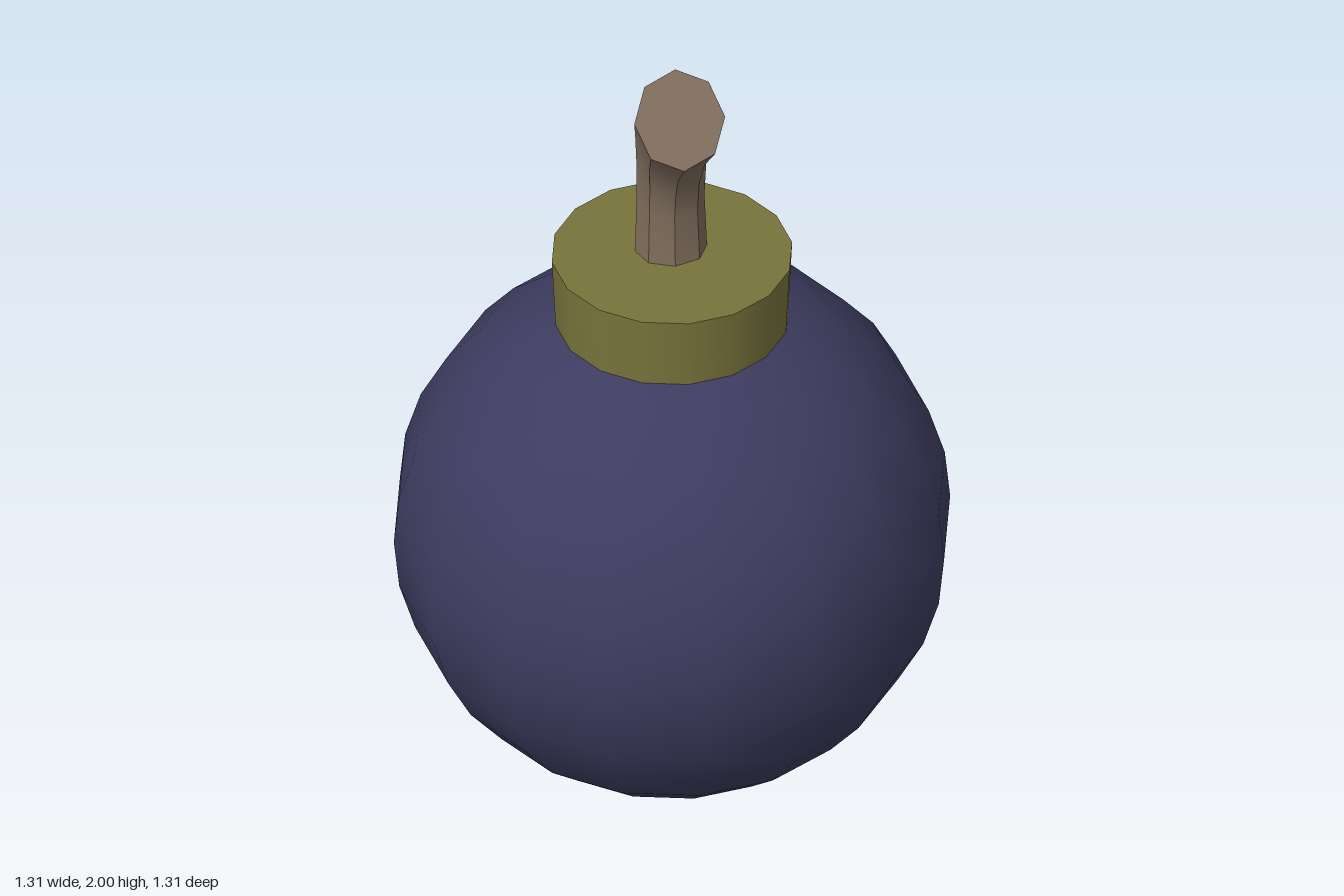
import * as THREE from 'three';
import { toCreasedNormals } from 'three/addons/utils/BufferGeometryUtils.js';

// Bent eight-sided fuse; each ring spans a back point and a front point.
function fuseGeometry() {
  const sides = 8;
  // [back z, back y, front z, front y, half width]
  const rings = [
    [-0.09, 1.4, 0.058, 1.4, 0.086],
    [-0.095, 1.585, 0.045, 1.56, 0.08],
    [-0.08, 1.715, 0.062, 1.64, 0.082],
    [-0.026, 1.885, 0.105, 1.715, 0.092],
    [0.053, 2.0, 0.205, 1.815, 0.107],
  ];
  const points = [];
  const index = [];
  for (const [bz, by, fz, fy, w] of rings) {
    for (let i = 0; i < sides; i++) {
      const a = (i / sides) * Math.PI * 2;
      const c = Math.cos(a) / 2;
      points.push(w * Math.sin(a), (by + fy) / 2 + c * (by - fy), (bz + fz) / 2 + c * (bz - fz));
    }
  }
  for (let r = 0; r < rings.length - 1; r++) {
    for (let i = 0; i < sides; i++) {
      const a0 = r * sides + i;
      const a1 = r * sides + ((i + 1) % sides);
      index.push(a0, a0 + sides, a1 + sides, a0, a1 + sides, a1);
    }
  }
  // flat cut end
  const last = (rings.length - 1) * sides;
  for (let i = 1; i < sides - 1; i++) index.push(last, last + i + 1, last + i);

  const geometry = new THREE.BufferGeometry();
  geometry.setAttribute('position', new THREE.Float32BufferAttribute(points, 3));
  geometry.setIndex(index);
  return toCreasedNormals(geometry, 0.65);
}

export function createModel() {
  const group = new THREE.Group();
  group.name = 'bomb';

  const material = (name, color) => {
    const m = new THREE.MeshStandardMaterial({ color });
    m.name = name;
    return m;
  };
  const add = (name, geometry, mat, y = 0) => {
    const mesh = new THREE.Mesh(geometry, mat);
    mesh.name = name;
    mesh.position.y = y;
    group.add(mesh);
  };

  // round body
  add('body', new THREE.SphereGeometry(0.655, 16, 16), material('dark indigo', 0x3d3c60), 0.655);
  // slightly flared collar
  add('collar', new THREE.CylinderGeometry(0.283, 0.274, 0.19, 16), material('olive', 0x78743c), 1.335);
  // bent fuse
  add('fuse', fuseGeometry(), material('brown', 0x7f6d5c));

  return group;
}
